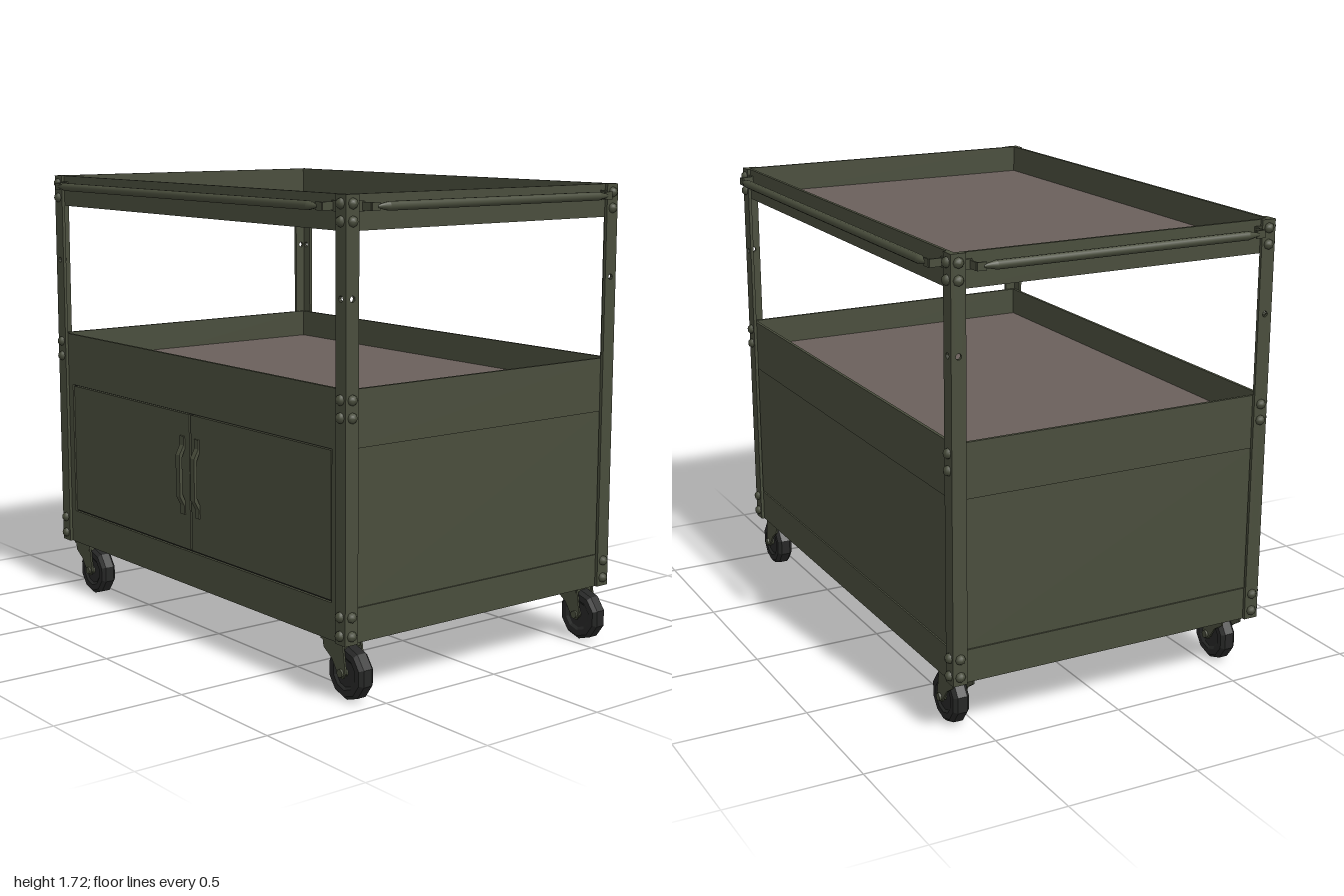
import * as THREE from 'three';

const green = new THREE.MeshStandardMaterial({ color: 0x494d3c });
green.name = 'olive green steel';
const brown = new THREE.MeshStandardMaterial({ color: 0x6a5f5b });
brown.name = 'brown tray liner';
const black = new THREE.MeshStandardMaterial({ color: 0x262726, flatShading: true });
black.name = 'black rubber';

const W = 0.945, D = 0.635;      // outer half width and half depth of the posts
const T = 0.012;                 // sheet thickness
const BX = W - T, BZ = D - T;    // outer half size of the sheet body
const LOW = 0.21, TOP = 1.72, POST = 0.055;

function add(parent, name, geometry, material, x = 0, y = 0, z = 0) {
  const mesh = new THREE.Mesh(geometry, material);
  mesh.name = name;
  mesh.position.set(x, y, z);
  parent.add(mesh);
  return mesh;
}
const box = (w, h, d) => new THREE.BoxGeometry(w, h, d);

function polygon(points) {
  return new THREE.Shape(points.map(([x, y]) => new THREE.Vector2(x, y)));
}

// Extrusion centred on z = 0
function plate(shape, depth) {
  const g = new THREE.ExtrudeGeometry(shape, { depth, bevelEnabled: false, curveSegments: 5 });
  return g.translate(0, 0, -depth / 2);
}

// Four sheet walls standing around the body
function walls(parent, name, y0, y1, inset = 0, sides = ['front', 'back', 'left', 'right']) {
  const h = y1 - y0, y = (y0 + y1) / 2;
  const x = BX - inset - T / 2, z = BZ - inset - T / 2;
  for (const side of sides) {
    const s = side === 'front' || side === 'left' ? 1 : -1;
    if (side === 'front' || side === 'back') add(parent, name, box(2 * (BX - inset), h, T), green, 0, y, s * z);
    else add(parent, name, box(T, h, 2 * (BZ - inset - T)), green, s * x, y, 0);
  }
}

// Open tray with a coloured liner on its floor
function tray(name, y0, y1, floorY) {
  const group = new THREE.Group();
  group.name = name;
  walls(group, name + 'Wall', y0, y1);
  add(group, name + 'Floor', box(2 * (BX - T), 0.008, 2 * (BZ - T)), green, 0, floorY - 0.004, 0);
  add(group, name + 'Liner', box(2 * (BX - T), 0.006, 2 * (BZ - T)), brown, 0, floorY + 0.003, 0);
  return group;
}

// Domed bolt pointing along +z
function boltGeometry() {
  const g = new THREE.LatheGeometry([
    [0.019, 0], [0.018, 0.006], [0.012, 0.014], [0, 0.017],
  ].map(([r, y]) => new THREE.Vector2(r, y)), 8);
  return g.rotateX(Math.PI / 2);
}

// Angle-iron corner post: two drilled flanges with bolts
function cornerPost(sx, sz) {
  const group = new THREE.Group();
  group.name = 'cornerPost';
  const h = TOP - LOW, mid = (TOP + LOW) / 2, w = POST / 2;
  const shape = polygon([[-w, -h / 2], [w, -h / 2], [w, h / 2], [-w, h / 2]]);
  shape.holes.push(new THREE.Path().absarc(0, 1.38 - mid, 0.011, 0, Math.PI * 2, true));
  const flange = plate(shape, T);
  add(group, 'postFaceFlange', flange, green, sx * (W - w), mid, sz * (D - T / 2));
  add(group, 'postSideFlange', flange, green, sx * (W - T / 2), mid, sz * (D - w)).rotation.y = Math.PI / 2;
  const bolt = boltGeometry();
  for (const y of [1.69, 1.632, 1.047, 0.987, 0.308, 0.242]) {
    add(group, 'faceBolt', bolt, green, sx * (W - w), y, sz * D).rotation.y = sz > 0 ? 0 : Math.PI;
    if (sz < 0 && y > 0.9 && y < 1.1) continue;
    add(group, 'sideBolt', bolt, green, sx * W, y, sz * (D - w)).rotation.y = sx * Math.PI / 2;
  }
  return group;
}

// Round push rail with tapered ends and strip brackets, running along x and facing +z
function rail(half, gap) {
  const group = new THREE.Group();
  group.name = 'pushRail';
  const r = 0.016, tip = half - 0.025;
  const bar = new THREE.LatheGeometry([
    [0, -tip], [0.006, -tip], [r, -tip + 0.045], [r, -tip + 0.045],
    [r, tip - 0.045], [r, tip - 0.045], [0.006, tip], [0, tip],
  ].map(([x, y]) => new THREE.Vector2(x, y)), 10);
  add(group, 'railBar', bar.rotateZ(Math.PI / 2), green, 0, 0, gap);
  for (const s of [-1, 1]) {
    add(group, 'railBracketArm', box(0.007, 0.028, gap), green, s * half, 0, gap / 2);
    add(group, 'railBracketTab', box(0.035, 0.028, 0.007), green, s * (half - 0.016), 0, gap);
    add(group, 'railBracketFoot', box(0.035, 0.035, 0.008), green, s * (half + 0.012), 0, 0.003);
  }
  return group;
}

// Swivel caster trailing towards +x, origin on the ground below its pivot
function caster() {
  const group = new THREE.Group();
  group.name = 'caster';
  add(group, 'casterPlate', box(0.12, 0.014, 0.09), green, 0, 0.204, 0);
  add(group, 'casterCrown', box(0.10, 0.014, 0.088), green, 0.005, 0.19, 0);
  const cheek = plate(polygon([
    [-0.05, 0.197], [0.06, 0.197], [0.075, 0.1], [0.06, 0.08], [0.038, 0.085], [0.0, 0.14], [-0.045, 0.17],
  ]), 0.007);
  for (const s of [-1, 1]) add(group, 'casterFork', cheek, green, 0, 0, s * 0.04);
  const tyre = new THREE.LatheGeometry([
    [0, -0.024], [0.05, -0.024], [0.06, -0.031], [0.083, -0.031], [0.096, -0.018],
    [0.096, 0.018], [0.083, 0.031], [0.06, 0.031], [0.05, 0.024], [0, 0.024],
  ].map(([r, y]) => new THREE.Vector2(r, y)), 10);
  add(group, 'wheel', tyre.rotateX(Math.PI / 2), black, 0.052, 0.096, 0);
  const axle = new THREE.CylinderGeometry(0.015, 0.015, 0.104, 8).rotateX(Math.PI / 2);
  add(group, 'wheelAxle', axle, green, 0.052, 0.1, 0);
  return group;
}

// Door pull: bracket profile in the depth/height plane
function doorHandle() {
  const profile = polygon([
    [0, -0.15], [0.006, -0.15], [0.006, -0.115], [0.025, -0.08], [0.025, 0.08], [0.006, 0.115],
    [0.006, 0.15], [0, 0.15], [0, 0.1], [0.013, 0.07], [0.013, -0.07], [0, -0.1],
  ]);
  return plate(profile, 0.026).rotateY(-Math.PI / 2);
}

export function createModel() {
  const model = new THREE.Group();
  model.name = 'utilityCart';

  // Trays
  model.add(tray('topTray', 1.6, TOP, 1.61));
  model.add(tray('middleTray', 0.88, 1.08, 0.965));

  // Cabinet: lower band, recessed side and back sheets, bottom
  const cabinet = new THREE.Group();
  cabinet.name = 'cabinet';
  model.add(cabinet);
  walls(cabinet, 'lowerBand', LOW, 0.332);
  walls(cabinet, 'cabinetSheet', 0.332, 0.88, 0.006, ['back', 'left', 'right']);
  add(cabinet, 'cabinetBottom', box(2 * (BX - T), 0.01, 2 * (BZ - T)), green, 0, LOW + 0.006, 0);
  add(cabinet, 'doorBacking', box(2 * (BX - 0.02), 0.548, 0.006), black, 0, 0.606, BZ - 0.022);

  // Door surround with its opening
  const surround = polygon([[-BX, 0.332], [BX, 0.332], [BX, 0.88], [-BX, 0.88]]);
  const open = [[-0.858, 0.342], [-0.858, 0.872], [0.856, 0.872], [0.856, 0.342]];
  surround.holes.push(new THREE.Path(open.map(([x, y]) => new THREE.Vector2(x, y))));
  add(cabinet, 'doorSurround', plate(surround, T), green, 0, 0, BZ - T / 2);

  // Double doors and pulls
  const pull = doorHandle();
  for (const s of [-1, 1]) {
    add(cabinet, 'door', box(0.846, 0.518, T), green, s * 0.428 - 0.003, 0.607, BZ - 0.004 - T / 2);
    add(cabinet, 'doorHandle', pull, green, s * 0.049 - 0.003, 0.63, BZ - 0.004);
  }

  // Corner posts and casters
  for (const sx of [-1, 1]) for (const sz of [-1, 1]) {
    model.add(cornerPost(sx, sz));
    const wheel = caster();
    wheel.position.set(sx * 0.838, 0, sz * 0.565);
    model.add(wheel);
  }

  // Push rails on all four sides of the top tray
  for (let i = 0; i < 4; i++) {
    const side = i % 2 === 1;
    const bar = side ? rail(0.56, 0.051) : rail(0.867, 0.05);
    const a = i * Math.PI / 2, out = side ? BX : BZ;
    bar.position.set(Math.sin(a) * out, 1.68, Math.cos(a) * out);
    bar.rotation.y = a;
    model.add(bar);
  }
  return model;
}
